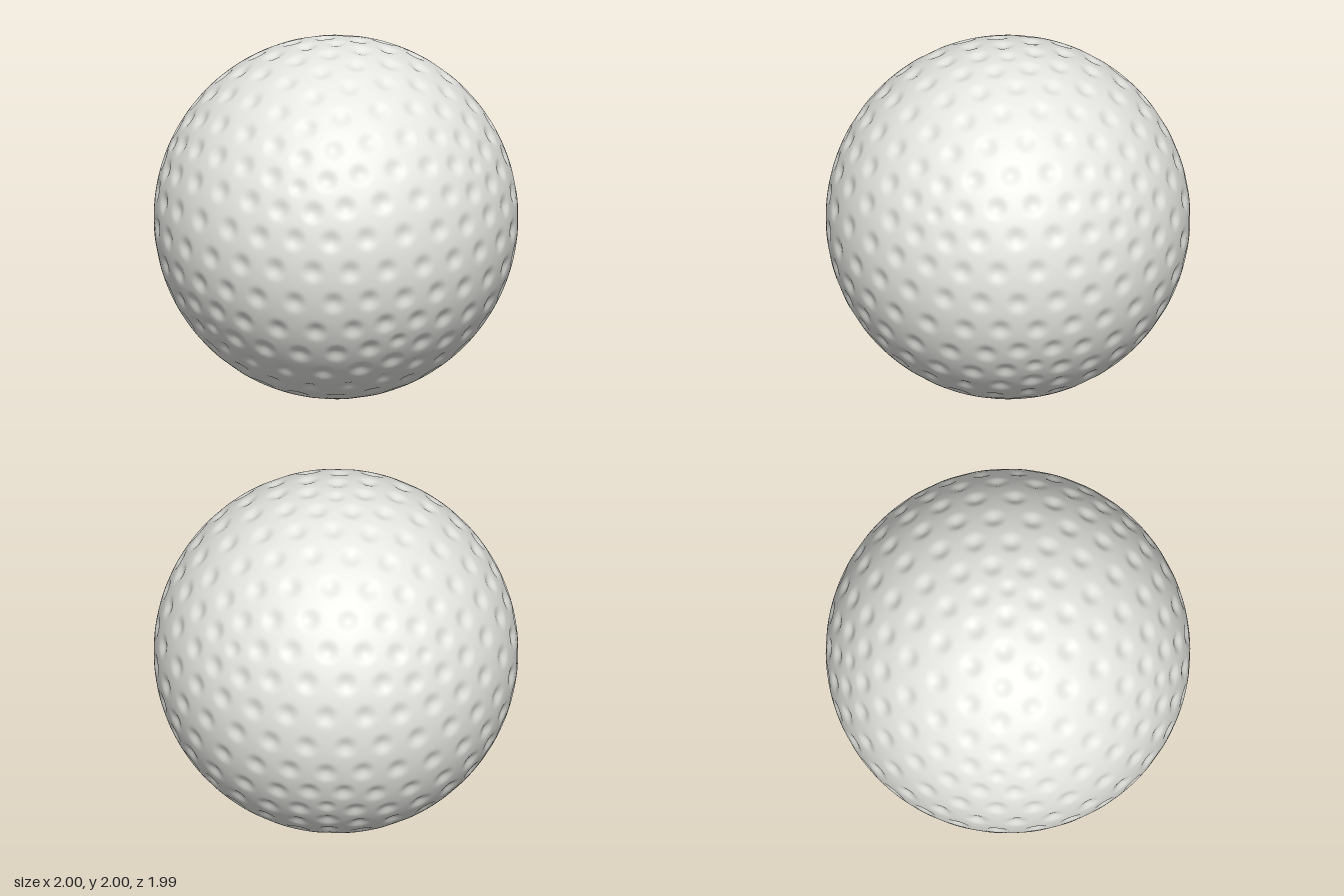
import * as THREE from 'three';
import { mergeVertices } from 'three/addons/utils/BufferGeometryUtils.js';

// Icosphere turned so that two of its twelve main corners lie on the y axis
function icosphere(detail) {
  const g = new THREE.IcosahedronGeometry(1, detail);
  g.deleteAttribute('uv');
  g.deleteAttribute('normal');
  g.rotateZ(-Math.atan(2 / (1 + Math.sqrt(5))));
  return mergeVertices(g, 1e-4);
}

function points(geometry) {
  const p = geometry.attributes.position;
  return Array.from({ length: p.count }, (_, i) => new THREE.Vector3().fromBufferAttribute(p, i));
}

export function createModel() {
  const group = new THREE.Group();
  group.name = 'golfBall';
  const white = new THREE.MeshStandardMaterial({ color: 0xe6e6e2 });
  white.name = 'off white';

  // Dimple centres: 362 points, with smaller dimples on the twelve main corners
  const corners = points(icosphere(0));
  const dimples = points(icosphere(5)).map((centre) => {
    const small = corners.some((c) => c.distanceTo(centre) < 0.01);
    return { centre, radius: small ? 0.062 : 0.076, depth: small ? 0.014 : 0.018 };
  });

  // Press a smooth round hollow into the sphere at each centre
  const ball = icosphere(77);
  const position = ball.attributes.position;
  points(ball).forEach((v, i) => {
    let r = 1;
    for (const d of dimples) {
      const dist = v.distanceTo(d.centre);
      if (dist < d.radius) r -= d.depth * 0.5 * (1 + Math.cos((Math.PI * dist) / d.radius));
    }
    v.multiplyScalar(r);
    position.setXYZ(i, v.x, v.y, v.z);
  });
  ball.computeVertexNormals();

  const mesh = new THREE.Mesh(ball, white);
  mesh.name = 'dimpledShell';
  mesh.position.y = 1;
  group.add(mesh);
  return group;
}
